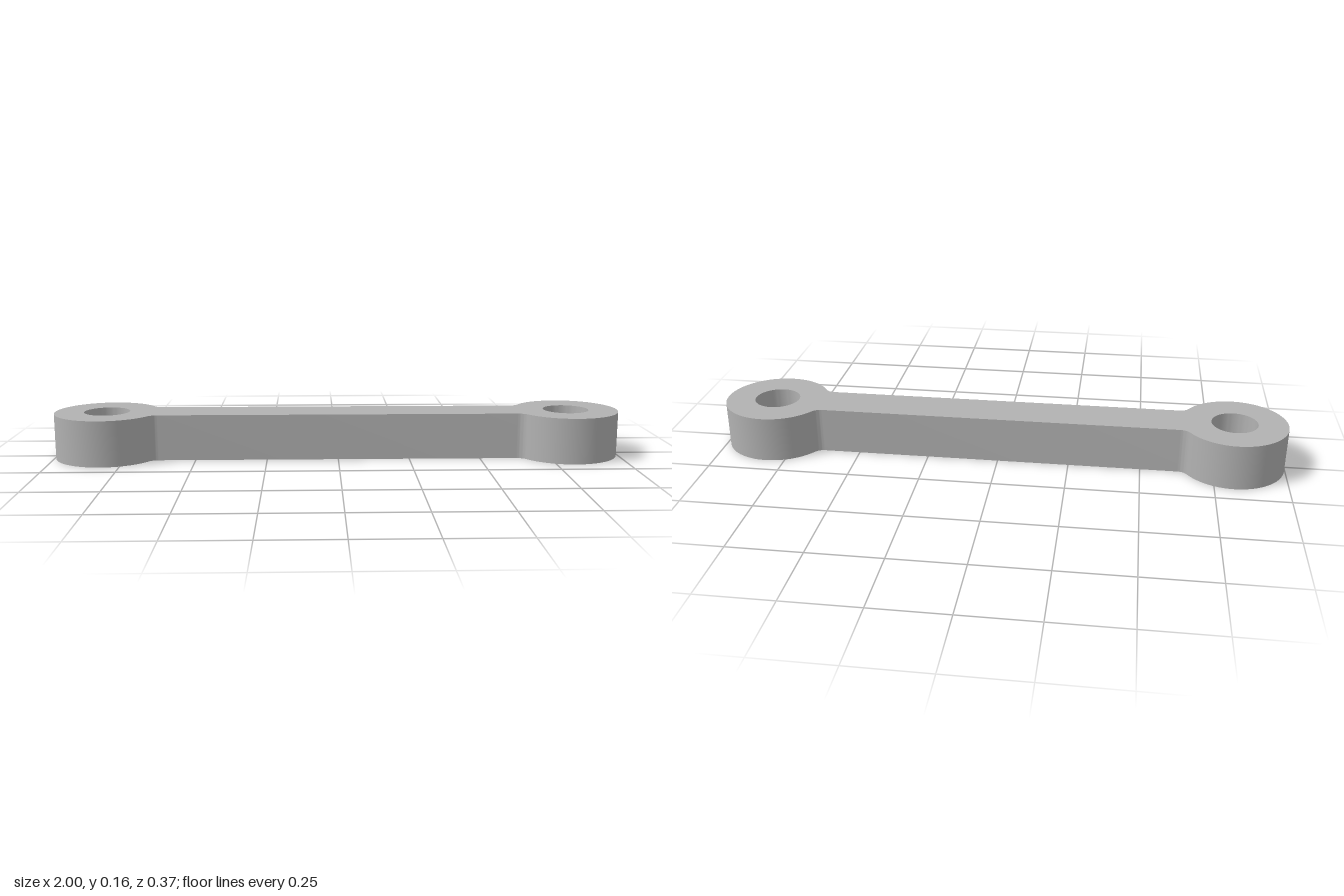
import * as THREE from 'three';
import { toCreasedNormals } from 'three/addons/utils/BufferGeometryUtils.js';

const EYE_X = 0.817;   // centre of each ring eye
const EYE_R = 0.183;   // outer radius of the eyes
const HOLE_R = 0.08;
const HALF_W = 0.08;   // half width of the bar
const FILLET = 0.04;   // blend between bar and eye
const HEIGHT = 0.16;

// Points along an arc, both ends included
function arc(cx, cy, r, from, to, segments) {
  return Array.from({ length: segments + 1 }, (_, i) => {
    const t = from + (to - from) * i / segments;
    return new THREE.Vector2(cx + r * Math.cos(t), cy + r * Math.sin(t));
  });
}

export function createModel() {
  const group = new THREE.Group();
  group.name = 'connectingLink';
  const grey = new THREE.MeshStandardMaterial({ color: 0xb2b2b2 });
  grey.name = 'plain grey';

  // Fillet centre, tangent to the bar edge and the eye
  const fy = HALF_W + FILLET;
  const a = Math.asin(fy / (EYE_R + FILLET));
  const fx = EYE_X - (EYE_R + FILLET) * Math.cos(a);

  // Half outline: right eye, then its upper fillet and the left end's upper fillet
  const half = [
    ...arc(EYE_X, 0, EYE_R, a - Math.PI, Math.PI - a, 80),
    ...arc(fx, fy, FILLET, -a, -Math.PI / 2, 10).slice(1),
    ...arc(-fx, fy, FILLET, -Math.PI / 2, a - Math.PI, 10).slice(0, -1),
  ];
  // The other half is the same, turned by 180 degrees
  const outline = new THREE.Shape([...half, ...half.map((p) => p.clone().negate())]);
  for (const side of [-1, 1]) {
    outline.holes.push(new THREE.Path(arc(side * EYE_X, 0, HOLE_R, 0, -2 * Math.PI, 64).slice(0, -1)));
  }

  // Upright extrusion with smooth round walls and sharp rims
  const body = new THREE.ExtrudeGeometry(outline, { depth: HEIGHT, bevelEnabled: false });
  body.rotateX(-Math.PI / 2);
  const link = new THREE.Mesh(toCreasedNormals(body, Math.PI / 6), grey);
  link.name = 'barWithRingEyes';
  group.add(link);
  return group;
}
